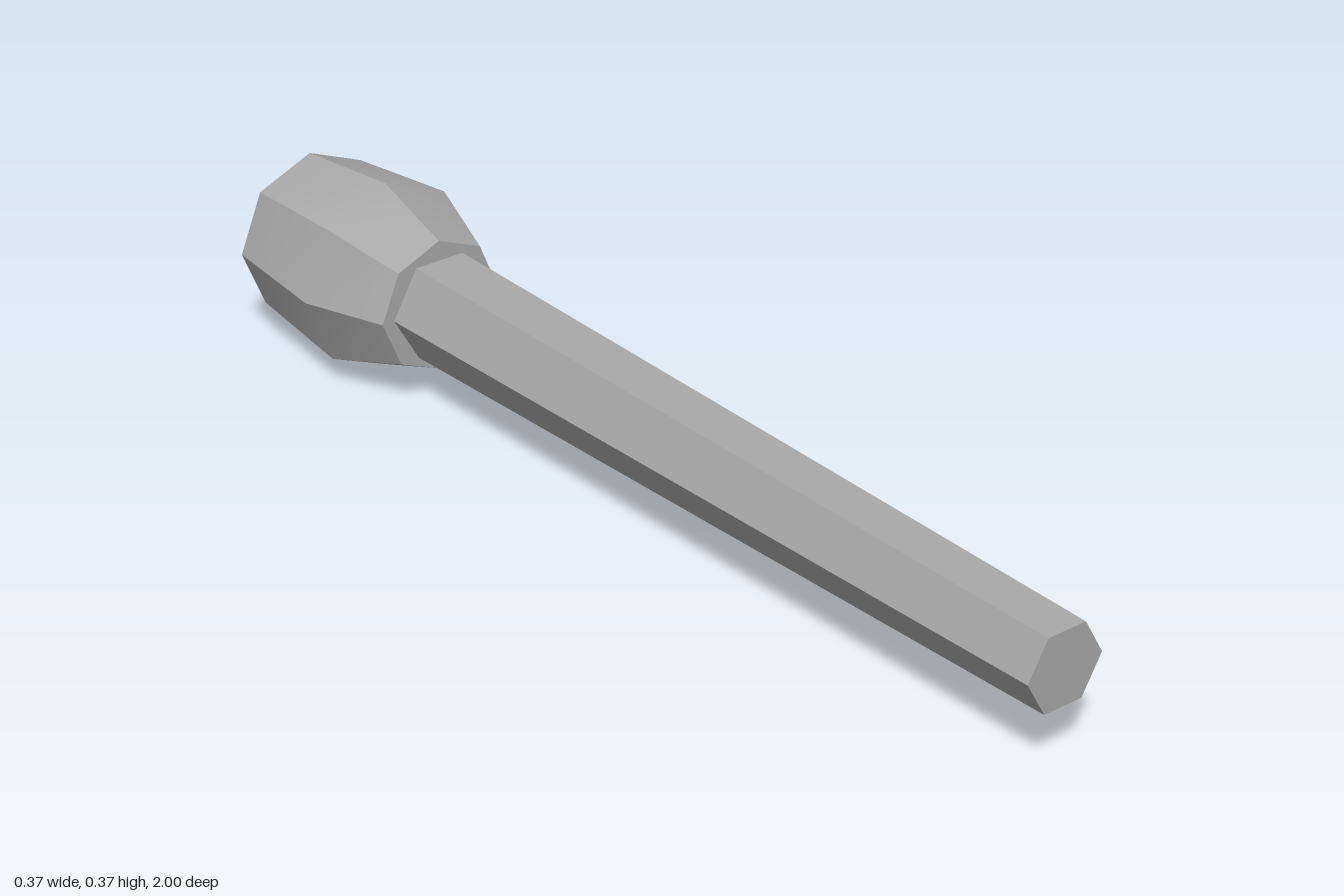
import * as THREE from 'three';
import { toCreasedNormals } from 'three/addons/utils/BufferGeometryUtils.js';

const AXIS_HEIGHT = 0.184;

export function createModel() {
  const group = new THREE.Group();
  group.name = 'club';

  const grey = new THREE.MeshStandardMaterial({ color: 0xa8a8a8 });
  grey.name = 'grey';

  // Tapered hexagonal handle, thin end forward, points to the sides
  const shaft = new THREE.CylinderGeometry(0.079, 0.103, 1.6, 6, 1, false, Math.PI / 2);
  shaft.rotateX(Math.PI / 2);
  shaft.translate(0, AXIS_HEIGHT, 0.2);
  const handle = new THREE.Mesh(toCreasedNormals(shaft, 0.6), grey);
  handle.name = 'handle';

  // Eight-sided bulging head, soft along its length and creased between sides
  const profile = [
    [0, -1], [0.16, -1], [0.184, -0.76], [0.128, -0.6], [0, -0.6],
  ].map(([r, z]) => new THREE.Vector2(r, z));
  const bulb = new THREE.LatheGeometry(profile, 8);
  bulb.rotateX(Math.PI / 2);
  bulb.translate(0, AXIS_HEIGHT, 0);
  const head = new THREE.Mesh(toCreasedNormals(bulb, 0.6), grey);
  head.name = 'head';

  group.add(handle, head);
  return group;
}
